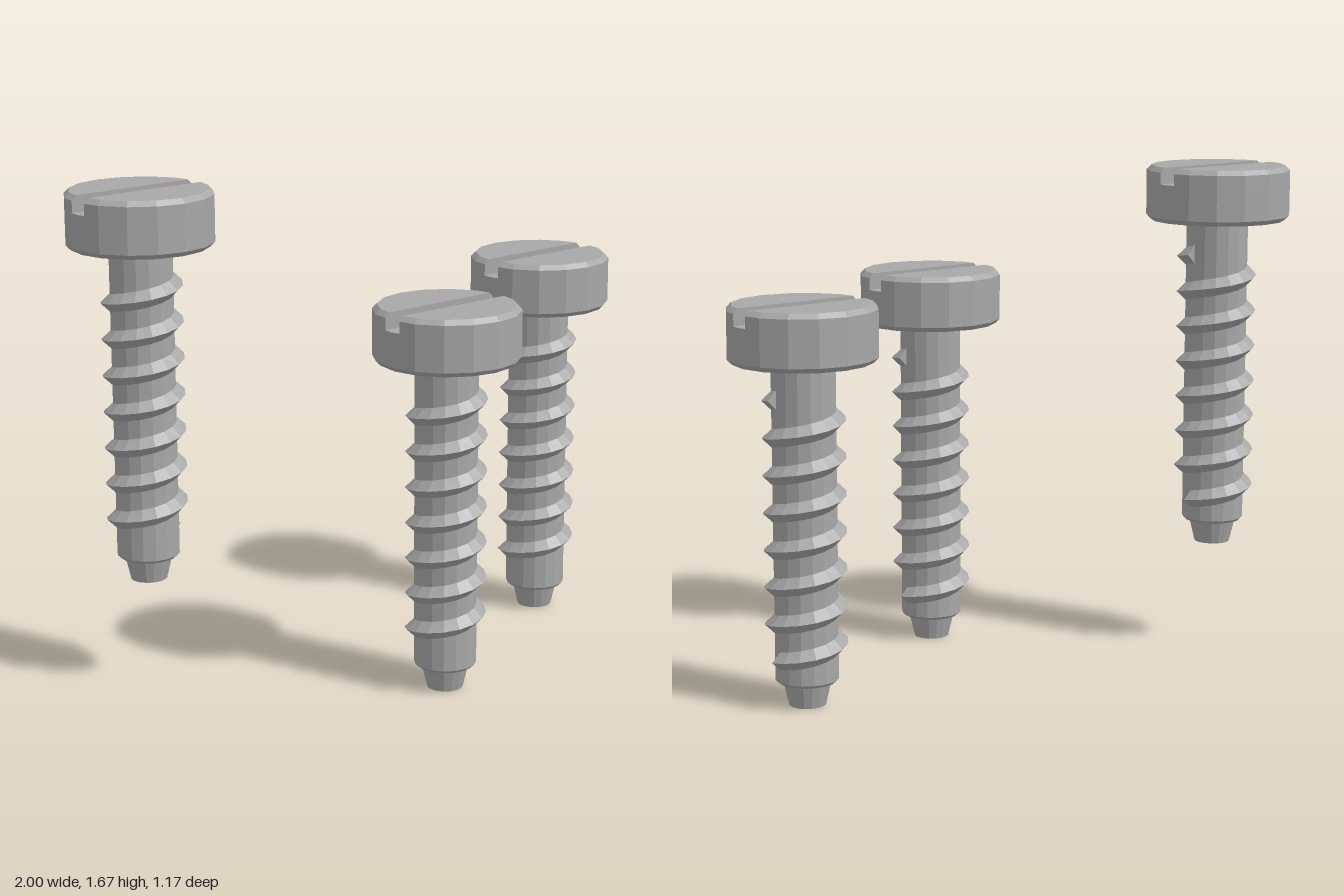
import * as THREE from 'three';
import { ConvexGeometry } from 'three/addons/geometries/ConvexGeometry.js';

const SIDES = 16;
const HEAD_R = 0.242, BEVEL_R = 0.226, SLOT_HALF = 0.033;

const lathe = (pts) =>
  new THREE.LatheGeometry(pts.map(([r, y]) => new THREE.Vector2(r, y)), SIDES);

// Half of the slotted top: a faceted disc cut off at the slot wall (side = +1 or -1 in z)
function slotHalf(side) {
  const pts = [];
  for (const [r, y] of [[HEAD_R, 1.25], [HEAD_R, 1.289], [BEVEL_R, 1.305]]) {
    const step = (2 * Math.PI) / SIDES;
    for (let k = 1; k < SIDES / 2; k++) {
      pts.push(new THREE.Vector3(r * Math.cos(k * step), y, side * r * Math.sin(k * step)));
    }
    const t = SLOT_HALF / (r * Math.sin(step));
    const x = r * (1 + t * (Math.cos(step) - 1));
    for (const s of [1, -1]) pts.push(new THREE.Vector3(s * x, y, side * SLOT_HALF));
  }
  return new ConvexGeometry(pts);
}

// Triangular ridge swept along a right-handed helix
function threadGeometry(turns, y0, y1) {
  const section = [[0.1, -0.034], [0.135, 0], [0.1, 0.034]];
  const n = turns * SIDES, pos = [], idx = [];
  for (let i = 0; i <= n; i++) {
    const a = (i / SIDES) * 2 * Math.PI, y = y0 + ((y1 - y0) * i) / n;
    for (const [r, dy] of section) pos.push(r * Math.cos(a), y + dy, -r * Math.sin(a));
    if (i === n) break;
    for (let j = 0; j < 2; j++) {
      const p = i * 3 + j, q = p + 3;
      idx.push(p, q, p + 1, q, q + 1, p + 1);
    }
  }
  // end caps
  idx.push(0, 1, 2, n * 3 + 2, n * 3 + 1, n * 3);
  const g = new THREE.BufferGeometry();
  g.setAttribute('position', new THREE.Float32BufferAttribute(pos, 3));
  g.setIndex(idx);
  g.computeVertexNormals();
  return g;
}

export function createModel() {
  const steel = new THREE.MeshStandardMaterial({ color: 0xa8a8a8, flatShading: true });
  steel.name = 'steel grey';

  const parts = {
    tip: lathe([[0, 0], [0.06, 0], [0.079, 0.08]]),
    shaft: lathe([[0, 0.078], [0.094, 0.078], [0.104, 0.088], [0.104, 1.125]]),
    thread: threadGeometry(7, 0.16, 1.008),
    headBase: lathe([[0, 1.12], [BEVEL_R, 1.12], [HEAD_R, 1.136], [HEAD_R, 1.25], [0, 1.25]]),
    headTopFront: slotHalf(1),
    headTopBack: slotHalf(-1),
  };

  // Three identical screws, one raised
  const model = new THREE.Group();
  model.name = 'screws';
  const places = {
    raisedScrew: [-0.758, 0.367, -0.343],
    frontScrew: [-0.05, 0, 0.34],
    sideScrew: [0.758, 0, -0.052],
  };
  for (const [name, p] of Object.entries(places)) {
    const screw = new THREE.Group();
    screw.name = name;
    for (const [partName, geometry] of Object.entries(parts)) {
      const mesh = new THREE.Mesh(geometry, steel);
      mesh.name = partName;
      screw.add(mesh);
    }
    screw.position.set(...p);
    model.add(screw);
  }
  return model;
}
